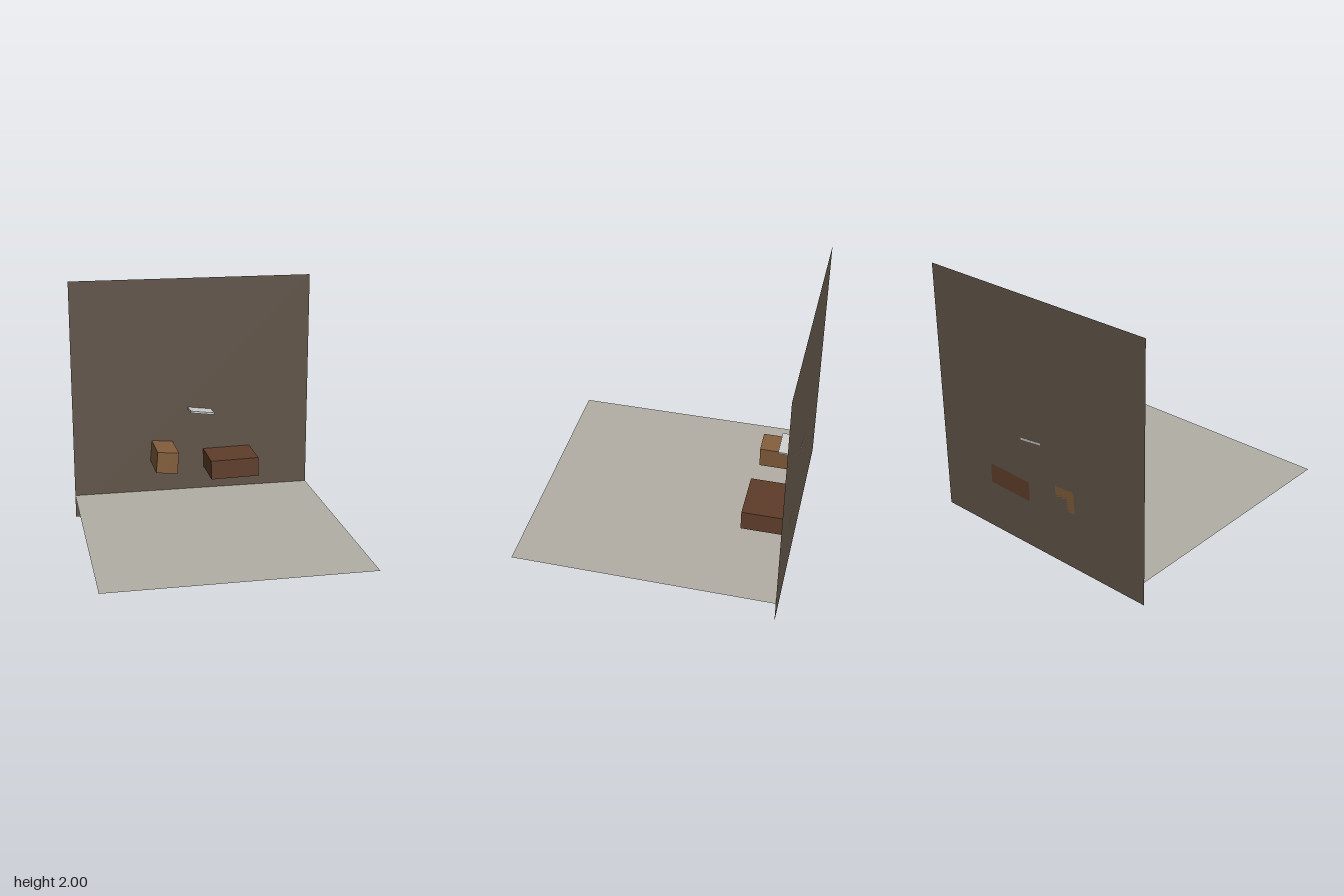
import * as THREE from 'three';

function paint(color, side = THREE.FrontSide) {
  return new THREE.MeshStandardMaterial({ color, side });
}

function addPart(group, name, geometry, material, position, rotation = [0, 0, 0]) {
  const mesh = new THREE.Mesh(geometry, material);
  mesh.name = name;
  mesh.position.set(...position);
  mesh.rotation.set(...rotation);
  group.add(mesh);
}

export function createModel() {
  const group = new THREE.Group();
  group.name = 'boxesOnWall';

  // Thin floor and back wall; the wall reaches a little below the floor
  const sheet = new THREE.PlaneGeometry(2, 2);
  addPart(group, 'floor', sheet, paint(0xb2aea5, THREE.DoubleSide), [0, 0.19, 0], [-Math.PI / 2, 0, 0]);
  addPart(group, 'wall', sheet, paint(0x605448, THREE.DoubleSide), [0, 1, -1]);

  // Slightly tilted boxes resting against the wall: name, size, color, position, rotation
  const boxes = [
    ['squareBox', [0.176, 0.176, 0.34], 0x825d3b, [-0.263, 0.54, -0.83], [0, 0, -0.085]],
    ['wideBox', [0.4, 0.158, 0.36], 0x5f3d2a, [0.297, 0.464, -0.82], [0, 0, 0.022]],
    ['thinPanel', [0.2, 0.016, 0.16], 0xcccccc, [0.063, 0.895, -0.921], [-0.045, 0, -0.13]],
  ];
  for (const [name, size, color, position, rotation] of boxes) {
    addPart(group, name, new THREE.BoxGeometry(...size), paint(color), position, rotation);
  }
  return group;
}
